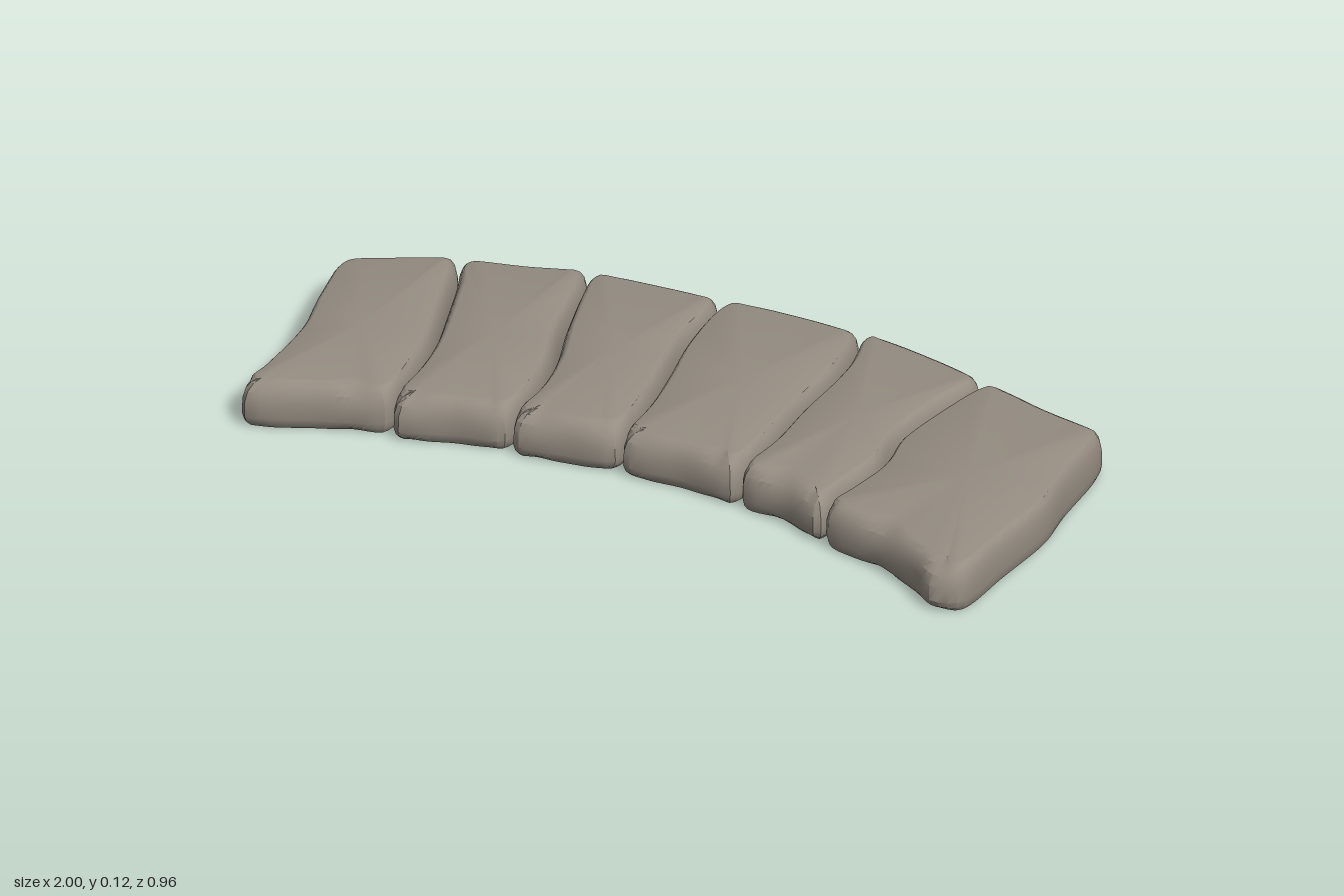
import * as THREE from 'three';
import { toCreasedNormals } from 'three/addons/utils/BufferGeometryUtils.js';

// Lines between neighbouring stones, back to front, as [x, z]; the first and last are the outer ends
const joints = [
  [[-1, -0.25], [-0.99, -0.08], [-0.965, 0.08], [-0.975, 0.25], [-0.985, 0.36]],
  [[-0.737, -0.36], [-0.71, -0.25], [-0.68, -0.13], [-0.65, 0], [-0.637, 0.12], [-0.638, 0.26]],
  [[-0.432, -0.435], [-0.395, -0.2], [-0.355, -0.05], [-0.337, 0.08], [-0.345, 0.21]],
  [[-0.093, -0.445], [-0.1, -0.24], [-0.08, -0.08], [-0.066, 0.06], [-0.068, 0.19]],
  [[0.275, -0.445], [0.293, -0.29], [0.278, -0.08], [0.274, 0.06], [0.255, 0.215]],
  [[0.626, -0.365], [0.585, -0.24], [0.547, -0.05], [0.556, 0.07], [0.525, 0.21], [0.51, 0.295]],
  [[0.985, -0.27], [0.99, -0.05], [0.997, 0.08], [0.97, 0.27], [0.945, 0.44]],
];
// Back edges left to right, front edges right to left
const backs = [
  [[-0.98, -0.28], [-0.88, -0.335], [-0.762, -0.38]],
  [[-0.71, -0.39], [-0.58, -0.425], [-0.455, -0.455]],
  [[-0.41, -0.457], [-0.26, -0.472], [-0.115, -0.465]],
  [[-0.07, -0.47], [0.12, -0.48], [0.255, -0.462]],
  [[0.295, -0.465], [0.46, -0.44], [0.605, -0.39]],
  [[0.65, -0.378], [0.82, -0.33], [0.97, -0.288]],
];
const fronts = [
  [[-0.66, 0.277], [-0.8, 0.32], [-0.965, 0.377]],
  [[-0.365, 0.23], [-0.48, 0.25], [-0.612, 0.288]],
  [[-0.088, 0.208], [-0.2, 0.225], [-0.325, 0.236]],
  [[0.235, 0.232], [0.1, 0.215], [-0.048, 0.214]],
  [[0.49, 0.303], [0.4, 0.262], [0.272, 0.235]],
  [[0.925, 0.462], [0.87, 0.475], [0.8, 0.42], [0.68, 0.36], [0.53, 0.315]],
];
// Worn spots on the front edges: x, z, depth
const chips = [
  [-0.96, 0.36, 0.02], [-0.72, 0.3, 0.025], [-0.59, 0.28, 0.03], [-0.38, 0.24, 0.02],
  [-0.28, 0.23, 0.03], [-0.09, 0.21, 0.02], [-0.03, 0.215, 0.02], [0.2, 0.22, 0.025],
  [0.36, 0.25, 0.03], [0.48, 0.3, 0.03], [0.68, 0.36, 0.035], [0.88, 0.46, 0.045],
];
// Cross-section of the rim: height, share of the bevel
const rim = [[0, 0.35], [0.012, 0.12], [0.03, 0], [0.07, 0.03], [0.095, 0.2], [0.112, 0.52], [0.12, 0.85], [0.122, 1.1]];
const COUNT = 96;
const GAP = 0.006;

function outline(i) {
  const left = [...joints[i]].reverse().map(([x, z]) => [x + (i > 0 ? GAP : 0), z]);
  const right = joints[i + 1].map(([x, z]) => [x - (i < 5 ? GAP : 0), z]);
  const points = [...left, ...backs[i], ...right, ...fronts[i]].map(([x, z]) => new THREE.Vector3(x, 0, z));
  const curve = new THREE.CatmullRomCurve3(points, true, 'centripetal');
  return curve.getSpacedPoints(COUNT).slice(0, COUNT);
}

// Outward directions, averaged along the edge so bevels turn corners cleanly
function outwardNormals(loop) {
  const at = (j) => loop[(j + COUNT) % COUNT];
  const raw = loop.map((_, j) => {
    const t = at(j + 1).clone().sub(at(j - 1)).normalize();
    return new THREE.Vector3(t.z, 0, -t.x);
  });
  return raw.map((_, j) => {
    const n = new THREE.Vector3();
    for (let k = -3; k <= 3; k++) n.addScaledVector(raw[(j + k + COUNT) % COUNT], 4 - Math.abs(k));
    return n.normalize();
  });
}

function stoneGeometry(i) {
  const loop = outline(i);
  const normals = outwardNormals(loop);
  const bevel = loop.map((p, j) => {
    let d = 0.018 + 0.02 * Math.abs(normals[j].z);
    for (const [x, z, depth] of chips) {
      if (normals[j].z > 0.2) d += depth * Math.exp(-((p.x - x) ** 2 + (p.z - z) ** 2) / 0.0016);
    }
    return d;
  });
  const positions = [];
  const index = [];
  for (const [y, share] of rim) {
    loop.forEach((p, j) => {
      const q = p.clone().addScaledVector(normals[j], -bevel[j] * share);
      positions.push(q.x, y, q.z);
    });
  }
  for (let r = 0; r < rim.length - 1; r++) {
    for (let j = 0; j < COUNT; j++) {
      const a = r * COUNT + j;
      const b = r * COUNT + (j + 1) % COUNT;
      index.push(b, a, a + COUNT, b, a + COUNT, b + COUNT);
    }
  }
  // Flat top and underside
  const middle = loop.reduce((sum, p) => sum.add(p), new THREE.Vector3()).divideScalar(COUNT);
  const base = rim.length * COUNT;
  positions.push(middle.x, 0, middle.z, middle.x, 0.122, middle.z);
  const top = (rim.length - 1) * COUNT;
  for (let j = 0; j < COUNT; j++) {
    const k = (j + 1) % COUNT;
    index.push(base, j, k, base + 1, top + k, top + j);
  }
  const geometry = new THREE.BufferGeometry();
  geometry.setAttribute('position', new THREE.Float32BufferAttribute(positions, 3));
  geometry.setIndex(index);
  return toCreasedNormals(geometry, 0.5);
}

export function createModel() {
  const model = new THREE.Group();
  model.name = 'curvedStonePath';
  const stone = new THREE.MeshStandardMaterial({ color: 0x958d82 });
  stone.name = 'warm grey stone';
  for (let i = 0; i < 6; i++) {
    const mesh = new THREE.Mesh(stoneGeometry(i), stone);
    mesh.name = `pavingStone${i + 1}`;
    model.add(mesh);
  }
  return model;
}
